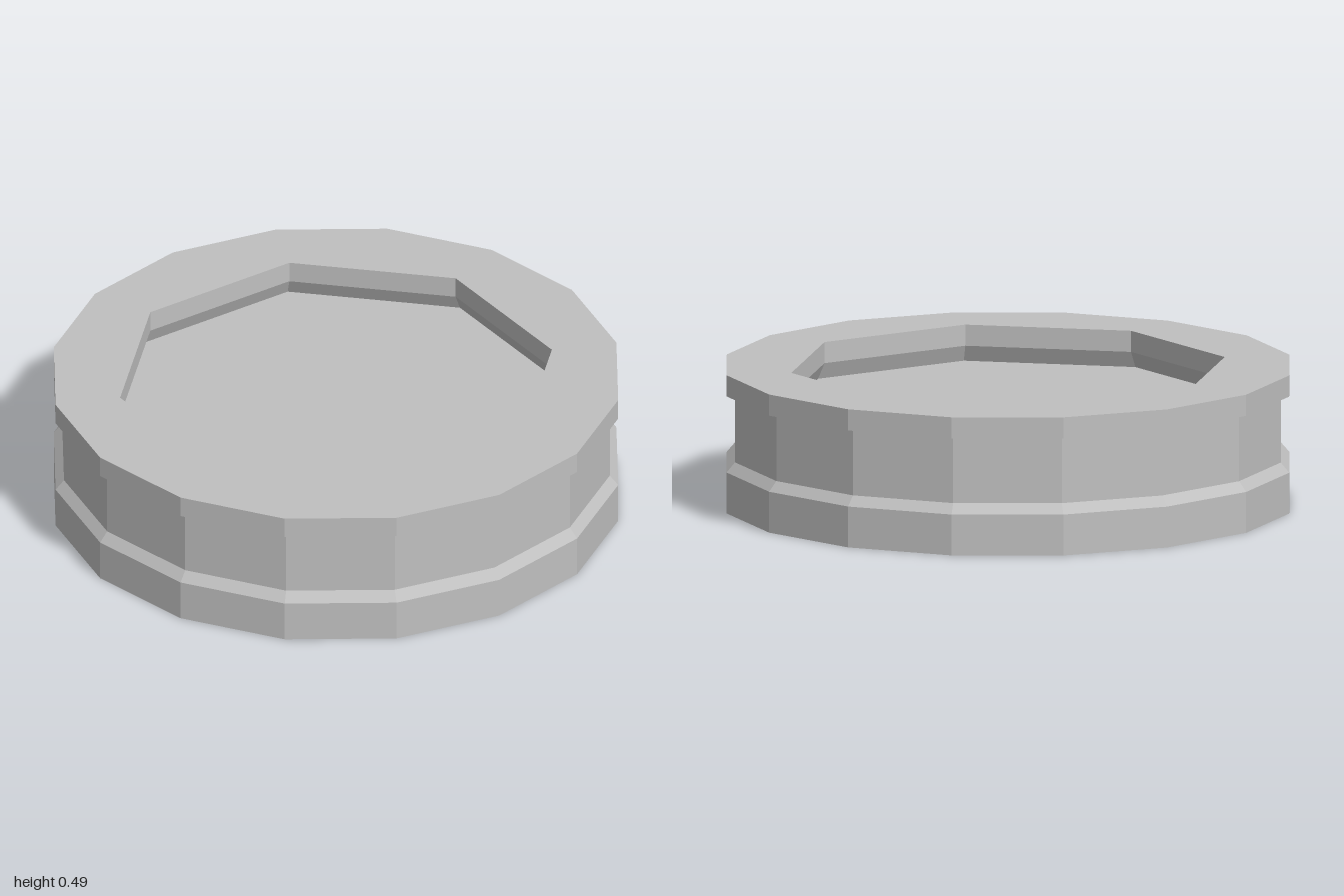
import * as THREE from 'three';

const HEIGHT = 0.49;
const OUTER_SIDES = 16;
const POCKET_SIDES = 8;

// Faceted surface of revolution from [radius, y] points
function facetedLathe(points, sides) {
  return new THREE.LatheGeometry(points.map(([r, y]) => new THREE.Vector2(r, y)), sides);
}

function polygon(radius, sides) {
  return Array.from({ length: sides }, (_, i) => {
    const a = (i / sides) * Math.PI * 2;
    return new THREE.Vector2(Math.cos(a) * radius, Math.sin(a) * radius);
  });
}

// Flat sixteen-sided face with an octagonal opening, facing up or down
function rimFace(holeRadius, y, up) {
  const shape = new THREE.Shape(polygon(1, OUTER_SIDES));
  shape.holes.push(new THREE.Path(polygon(holeRadius, POCKET_SIDES)));
  return new THREE.ShapeGeometry(shape).rotateX(up ? -Math.PI / 2 : Math.PI / 2).translate(0, y, 0);
}

export function createModel() {
  const group = new THREE.Group();
  group.name = 'recessedRoundBase';

  const grey = new THREE.MeshStandardMaterial({ color: 0xc0c0c0 });
  grey.name = 'plain grey';
  grey.flatShading = true;

  const add = (name, geometry) => {
    const mesh = new THREE.Mesh(geometry, grey);
    mesh.name = name;
    group.add(mesh);
  };

  // Outer wall: foot, bevel, waist and overhanging lip
  add('outerWall', facetedLathe(
    [[1, 0], [1, 0.145], [0.97, 0.18], [0.97, 0.415], [1, 0.415], [1, HEIGHT]], OUTER_SIDES));

  // Top rim and its undercut octagonal pocket
  add('topRim', rimFace(0.77, HEIGHT, true));
  add('topPocket', facetedLathe(
    [[0.77, HEIGHT], [0.77, 0.415], [0.797, 0.357], [0, 0.357]], POCKET_SIDES));

  // Underside with a shallow octagonal recess
  add('bottomRim', rimFace(0.797, 0, false));
  add('bottomRecess', facetedLathe([[0, 0.014], [0.797, 0.014], [0.797, 0]], POCKET_SIDES));

  return group;
}
